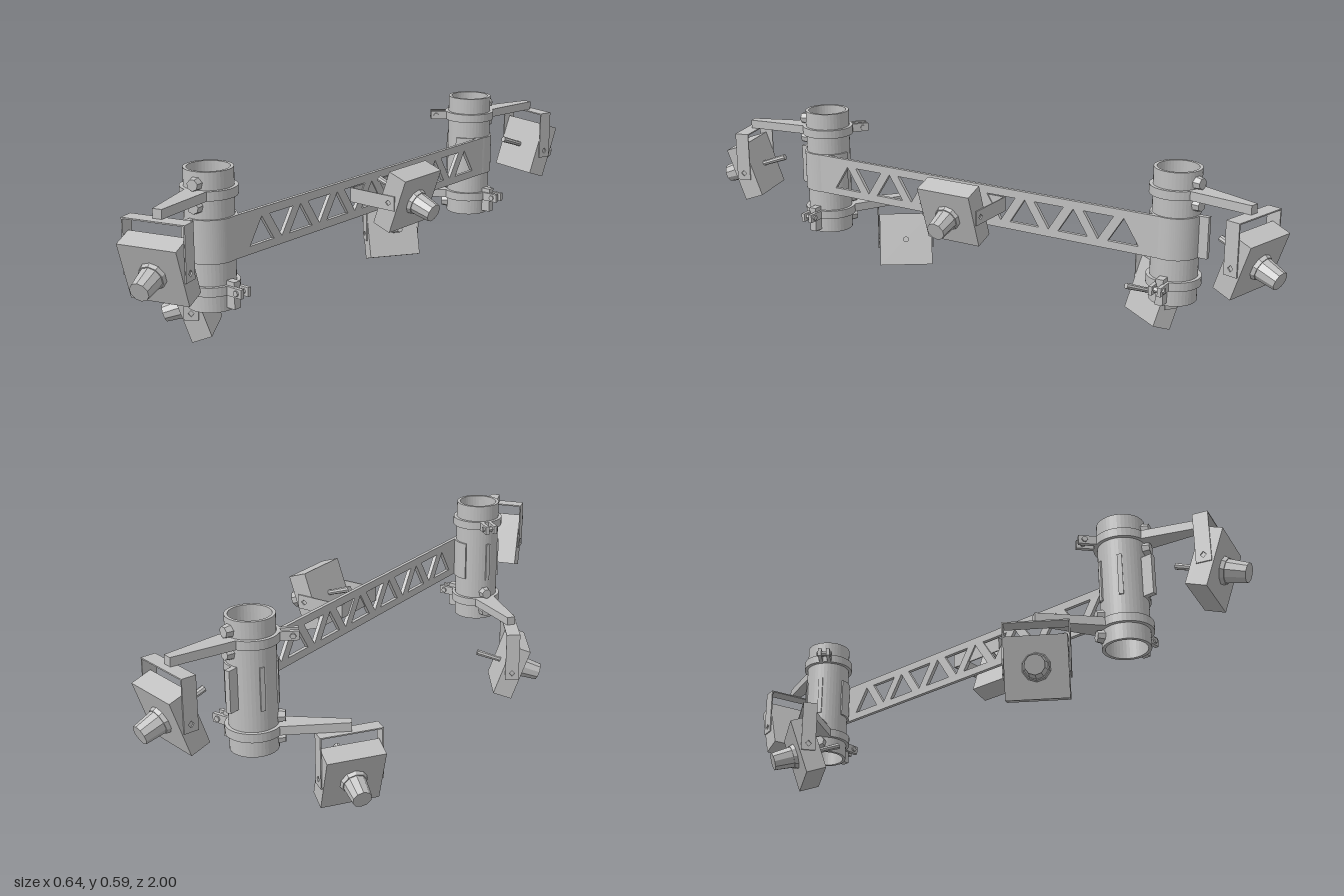
import * as THREE from 'three';

const grey = new THREE.MeshStandardMaterial({ color: 0xc0c0c0 });
grey.name = 'light grey plastic';
grey.flatShading = true;

const TILT = THREE.MathUtils.degToRad(19.4);
const MAST_Z = 0.63;

function add(parent, name, geometry, x = 0, y = 0, z = 0) {
  const mesh = new THREE.Mesh(geometry, grey);
  mesh.name = name;
  mesh.position.set(x, y, z);
  parent.add(mesh);
  return mesh;
}

function group(parent, name, x = 0, y = 0, z = 0, yaw = 0) {
  const g = new THREE.Group();
  g.name = name;
  g.position.set(x, y, z);
  g.rotation.y = yaw;
  parent.add(g);
  return g;
}

const polygon = (pts) => new THREE.Shape(pts.map(([x, y]) => new THREE.Vector2(x, y)));
const extrude = (shape, depth) =>
  new THREE.ExtrudeGeometry(shape, { depth, bevelEnabled: false, curveSegments: 20 });

// Vertical hollow ring standing on its own base
function ring(outer, inner, height) {
  const shape = new THREE.Shape().absarc(0, 0, outer, 0, Math.PI * 2);
  shape.holes.push(new THREE.Path().absarc(0, 0, inner, 0, Math.PI * 2, true));
  return extrude(shape, height).rotateX(-Math.PI / 2);
}

// Vertical half ring on the +x side
function halfRing(outer, inner, height) {
  const q = Math.PI / 2;
  const shape = new THREE.Shape().absarc(0, 0, outer, -q, q).absarc(0, 0, inner, q, -q, true);
  return extrude(shape, height).rotateX(-q);
}

// Cylinder along local z, starting at z0
const rod = (r0, r1, length, z0, sides = 10) =>
  new THREE.CylinderGeometry(r1, r0, length, sides).rotateX(Math.PI / 2).translate(0, 0, z0 + length / 2);

// Tilted square unit, facing local +z, held in a U bracket of the given reach
function addUnit(parent, name, x, y, z, yaw, reach, bracketTurn) {
  const unit = group(parent, name, x, y, z, yaw);
  const head = group(unit, 'head');
  head.rotation.x = TILT;
  add(head, 'housing', new THREE.BoxGeometry(0.18, 0.178, 0.064));
  add(head, 'lensCollar', rod(0.042, 0.038, 0.014, 0.03));
  add(head, 'lensBarrel', rod(0.036, 0.029, 0.073, 0.032));
  add(head, 'rearStem', rod(0.01, 0.008, 0.09, -0.115, 8));

  const bracket = group(unit, 'bracket');
  bracket.rotation.x = bracketTurn;
  const w = 0.0225;
  const leg = polygon([[-w, -w], [w, -w], [w, reach], [-w, reach]]);
  leg.holes.push(new THREE.Path(
    [[0, 0.01], [-0.009, 0], [0, -0.01], [0.009, 0]].map(([a, b]) => new THREE.Vector2(a, b))));
  for (const s of [-1, 1]) {
    add(bracket, 'bracketLeg', extrude(leg, 0.004).translate(0, 0, -0.002).rotateY(Math.PI / 2), s * 0.094);
  }
  add(bracket, 'bracketBar', new THREE.BoxGeometry(0.192, 0.004, 0.045), 0, reach, 0);
}

// Clamp ring with a tapered arm along one direction and a bolted ear along another
function addClamp(mast, name, y, armYaw, earYaw, length) {
  const clamp = group(mast, name, 0, y, 0);
  add(clamp, 'clampRing', ring(0.082, 0.066, 0.027));

  const arm = group(clamp, 'arm', 0, 0, 0, armYaw + Math.PI);
  const plan = polygon([[-0.036, 0.064], [0.036, 0.064], [0.014, length], [-0.014, length]].reverse());
  add(arm, 'armBeam', extrude(plan, 0.027).rotateX(-Math.PI / 2));
  for (const by of [-0.02, 0.045]) {
    add(arm, 'armBolt', rod(0.017, 0.022, 0.03, -0.09, 7), 0, by, 0);
  }

  const ear = group(clamp, 'ear', 0, 0, 0, earYaw);
  for (const s of [-1, 1]) {
    add(ear, 'earTab', new THREE.BoxGeometry(0.012, 0.027, 0.06), s * 0.014, 0.0135, 0.103);
  }
  add(ear, 'earBolt', new THREE.CylinderGeometry(0.009, 0.009, 0.05, 6).rotateZ(Math.PI / 2), 0, 0.0135, 0.115);
}

function addMast(parent, s) {
  const mast = group(parent, s > 0 ? 'frontMast' : 'rearMast', 0, 0, s * MAST_Z);
  add(mast, 'tube', ring(0.071, 0.061, 0.405), 0, 0.185, 0);
  const yaw = (x, z) => Math.atan2(x, s * z);
  addClamp(mast, 'upperClamp', 0.511, yaw(0.07, 0.255), yaw(-0.77, -0.64), 0.27);
  addClamp(mast, 'lowerClamp', 0.235, yaw(-0.22, -0.152), yaw(1, 0), 0.275);
  add(mast, 'lowerClampRib', new THREE.BoxGeometry(0.032, 0.08, 0.024), 0.084, 0.235, 0);

  // Saddle that joins the truss to the tube, with its ear and clip ribs
  add(mast, 'saddle', halfRing(0.077, 0.067, 0.127), 0, 0.328, 0);
  add(mast, 'saddleEar', new THREE.BoxGeometry(0.016, 0.127, 0.037), 0.002, 0.3915, s * 0.0865);
  for (const a of [-0.5, 0.5]) {
    const rib = group(mast, 'clipRib', 0, 0.39, 0, -Math.PI / 2 + a);
    add(rib, 'rib', new THREE.BoxGeometry(0.014, 0.13, 0.012), 0, 0, 0.069);
  }

  // Upper unit faces outward, lower unit faces backward
  addUnit(parent, 'outerUnit', 0.07, 0.375, s * 0.89, yaw(0.07, 0.255), 0.133, 0);
  addUnit(parent, 'lowerUnit', -0.221, 0.0955, s * 0.478, yaw(-0.82, 0.57), 0.136, 0);
}

// Flat plate with a row of alternating triangular windows
function addTruss(parent) {
  const plate = polygon([[-0.65, 0.328], [0.65, 0.328], [0.65, 0.455], [-0.65, 0.455]]);
  for (let i = -6; i <= 6; i++) {
    const c = i * 0.083;
    const [base, tip] = i % 2 ? [0.43, 0.352] : [0.352, 0.43];
    plate.holes.push(new THREE.Path([
      new THREE.Vector2(c - 0.05, base), new THREE.Vector2(c + 0.05, base), new THREE.Vector2(c, tip)]));
  }
  add(parent, 'truss', extrude(plate, 0.012).rotateY(Math.PI / 2), 0.062, 0, 0);
}

export function createModel() {
  const model = new THREE.Group();
  model.name = 'sensorRig';
  addTruss(model);
  for (const s of [-1, 1]) addMast(model, s);
  addUnit(model, 'centreUnit', 0.212, 0.404, 0, Math.PI / 2, 0.143, -Math.PI / 2);
  return model;
}
